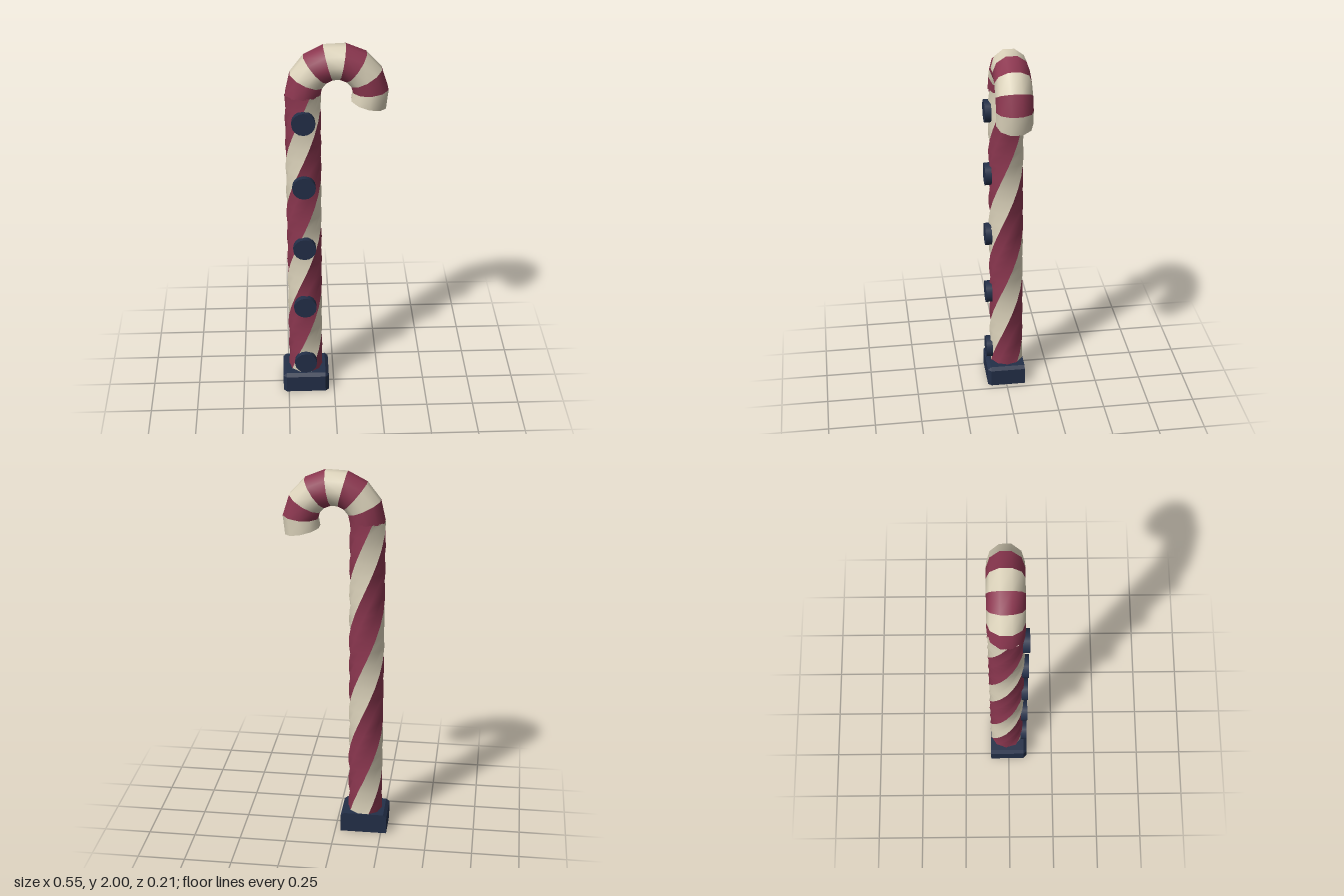
import * as THREE from 'three';

const SIDES = 10, RADIUS = 0.0925;
const POLE_X = -0.155, POLE_Z = -0.0125;
const rad = THREE.MathUtils.degToRad;

// Surface through a list of rings of [x, y, z] points, faces outward
function loft(rings, closed, flat) {
  const n = rings[0].length, index = [];
  for (let r = 0; r < rings.length - 1; r++) {
    for (let i = 0; i < (closed ? n : n - 1); i++) {
      const j = (i + 1) % n;
      const a = r * n + i, b = a + n, c = r * n + j, d = c + n;
      index.push(a, b, c, c, b, d);
    }
  }
  let geo = new THREE.BufferGeometry();
  geo.setAttribute('position', new THREE.Float32BufferAttribute(rings.flat(2), 3));
  geo.setIndex(index);
  if (flat) geo = geo.toNonIndexed();
  geo.computeVertexNormals();
  return geo;
}

export function createModel() {
  const material = (name, color) => {
    const m = new THREE.MeshStandardMaterial({ color });
    m.name = name;
    return m;
  };
  const red = material('berry red', 0x8c3750);
  const cream = material('cream', 0xdcd3bb);
  const navy = material('navy', 0x232f48);

  const model = new THREE.Group();
  model.name = 'candyCane';
  const add = (name, geo, mat, parent = model) => {
    const mesh = new THREE.Mesh(geo, mat);
    mesh.name = name;
    parent.add(mesh);
    return mesh;
  };

  // Base block: bevelled on the front, the sides and the top
  const hx = 0.125, hz = 0.103, c = 0.018;
  const outline = [[hx, -hz], [hx, hz - c], [hx - c, hz], [c - hx, hz], [c - hx - c, hz - c], [-hx, -hz]];
  const inset = [[hx - c, -hz], [hx - c, hz - c], [hx - c, hz - c], [c - hx, hz - c], [c - hx, hz - c], [c - hx, -hz]];
  const level = (pts, y) => pts.map(([x, z]) => [x + POLE_X, y, z]);
  const middle = outline.map(() => [0, 0]);
  add('base', loft([level(middle, 0), level(outline, 0), level(outline, 0.094),
    level(inset, 0.11), level(middle, 0.11)], true, true), navy);

  // Pole: a twisted ten-sided column, split into spiral strips
  const pole = new THREE.Group();
  pole.name = 'pole';
  model.add(pole);
  const y0 = 0.1, y1 = 1.75, steps = 24, pitch = 1.36;
  const spiral = (first, count) => {
    const rings = [];
    for (let s = 0; s <= steps; s++) {
      const y = y0 + (y1 - y0) * s / steps;
      const twist = 54 - (y - 0.18) * 360 / pitch;
      const ring = [];
      for (let i = first; i <= first + count; i++) {
        const a = rad(i * 360 / SIDES + twist);
        ring.push([POLE_X + RADIUS * Math.cos(a), y, POLE_Z + RADIUS * Math.sin(a)]);
      }
      rings.push(ring);
    }
    return loft(rings, false, false);
  };
  for (const start of [0, 5]) {
    add('creamSpiral', spiral(start, 2), cream, pole);
    add('redSpiral', spiral(start + 2, 3), red, pole);
  }

  // Hook: eight bands in alternating colours along an arc
  const hook = new THREE.Group();
  hook.name = 'hook';
  model.add(hook);
  const bands = 8, hookX = 0.015, hookY = 1.746, hookR = 0.17;
  const hookRing = (k, radius = RADIUS) => {
    const at = rad(180 - 25 * k);
    const tilt = k === bands ? rad(-13) : at;
    return Array.from({ length: SIDES }, (_, i) => {
      const a = rad((i + 0.5) * 360 / SIDES);
      const u = -radius * Math.cos(a);
      return [hookX + hookR * Math.cos(at) + u * Math.cos(tilt),
        hookY + hookR * Math.sin(at) + u * Math.sin(tilt),
        POLE_Z + radius * Math.sin(a)];
    });
  };
  for (let k = 0; k < bands; k++) {
    add('hookBand', loft([hookRing(k), hookRing(k + 1)], true, false), k % 2 ? cream : red, hook);
  }
  add('hookEnd', loft([hookRing(bands), hookRing(bands, 0)], true, true), red, hook);

  // Buttons down the front of the pole
  for (let i = 0; i < 5; i++) {
    const button = add('button', new THREE.CylinderGeometry(0.06, 0.06, 0.034, 16), navy);
    button.rotation.x = Math.PI / 2;
    button.position.set(POLE_X, 0.185 + 0.36 * i, 0.085);
  }

  return model;
}
